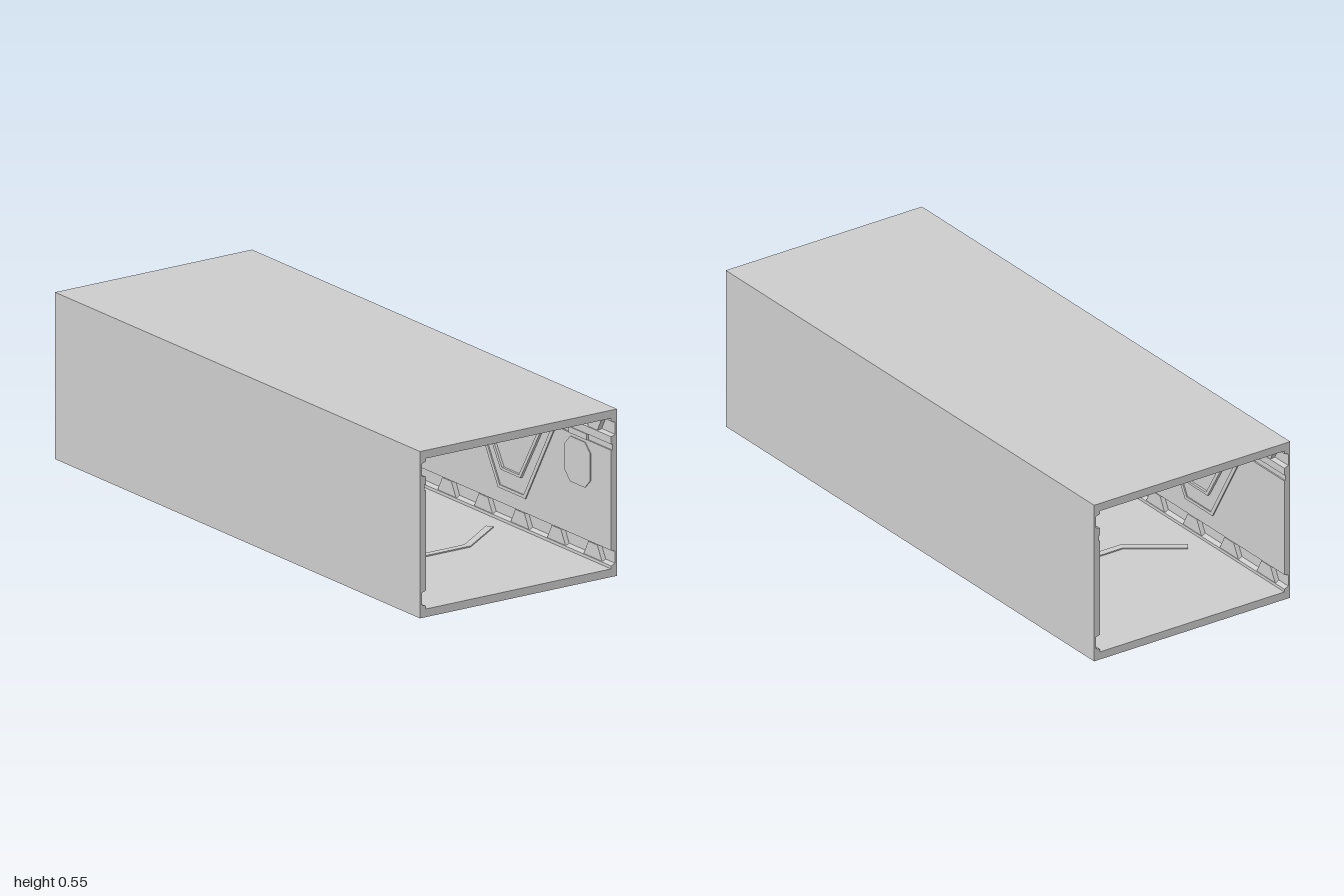
import * as THREE from 'three';

const LENGTH = 2, HALF_W = 0.38, HEIGHT = 0.553;
const WALL = 0.357, FLOOR = 0.027, CEILING = 0.526;
const MODULES = [0, -1]; // the corridor repeats every unit along z

const material = new THREE.MeshStandardMaterial({ color: 0xcccccc, flatShading: true });
const polygon = (pts) => new THREE.Shape(pts.map(([x, y]) => new THREE.Vector2(x, y)));
const extrude = (shape, depth) => new THREE.ExtrudeGeometry(shape, { depth, bevelEnabled: false });

// Flat mitred band of constant height following a polyline
function band(points, width) {
  const offset = (s) => points.map(([x, y], i) => {
    const a = points[Math.max(i - 1, 0)], b = points[Math.min(i + 1, points.length - 1)];
    const t = new THREE.Vector2(b[0] - a[0], b[1] - a[1]).normalize();
    return [x - t.y * s, y + t.x * s];
  });
  return polygon([...offset(width / 2), ...offset(-width / 2).reverse()]);
}

export function createModel() {
  const group = new THREE.Group();
  const add = (name, geometry, x = 0, y = 0, z = 0) => {
    const mesh = new THREE.Mesh(geometry, material);
    mesh.name = name;
    mesh.position.set(x, y, z);
    group.add(mesh);
  };

  // Rectangular shell whose side walls carry lengthwise channels
  const side = [
    [WALL, FLOOR], [WALL, 0.037], [0.373, 0.043], [0.373, 0.083], [WALL, 0.088],
    [WALL, 0.42], [0.362, 0.42], [0.362, 0.44], [WALL, 0.44],
    [WALL, 0.465], [0.373, 0.47], [0.373, 0.51], [WALL, 0.516], [WALL, CEILING],
  ];
  const shell = polygon([[-HALF_W, 0], [HALF_W, 0], [HALF_W, HEIGHT], [-HALF_W, HEIGHT]]);
  const left = side.map(([x, y]) => [-x, y]).reverse();
  shell.holes.push(new THREE.Path(polygon([...side, ...left]).getPoints()));
  add('corridorShell', extrude(shell, LENGTH), 0, 0, -1);

  // Shape drawn in (z, y), raised from a side wall to the given inner x
  const wallRelief = (name, shape, s, inner, z) => {
    const depth = 0.363 - inner;
    const g = extrude(shape, depth).rotateY(-Math.PI / 2);
    add(name, g, s > 0 ? 0.363 : -inner, 0, z);
  };

  for (const s of [1, -1]) {
    for (const m of MODULES) {
      // Double trapezoid brace on the wall
      wallRelief('outerBrace', band([[0.22, 0.435], [0.39, 0.142], [0.53, 0.142], [0.7, 0.435]], 0.014), s, 0.353, m);
      wallRelief('innerBrace', band([[0.28, 0.42], [0.41, 0.206], [0.51, 0.206], [0.64, 0.42]], 0.012), s, 0.3485, m);
      // Eight-sided inspection panel
      wallRelief('wallPanel', polygon([
        [0.75, 0.29], [0.78, 0.26], [0.86, 0.26], [0.89, 0.29],
        [0.89, 0.38], [0.86, 0.41], [0.78, 0.41], [0.75, 0.38],
      ]), s, 0.354, m);
      // Key set in the upper slot
      wallRelief('slotKey', polygon([[0.77, 0.42], [0.87, 0.42], [0.87, 0.44], [0.77, 0.44]]), s, 0.354, m);
    }

    // Clips with sloping ends, spaced along the lower and upper channels
    for (let i = 0; i < 10; i++) {
      const z = -0.9 + i * 0.2;
      const low = [[-0.05, 0.039], [0.05, 0.039], [0.025, 0.086], [-0.025, 0.086]];
      const high = low.map(([u, y]) => [u, HEIGHT - y]).reverse();
      for (const [name, pts] of [['lowerClip', low], ['upperClip', high]]) {
        const g = extrude(polygon(pts), 0.016).rotateY(-Math.PI / 2);
        add(name, g, s > 0 ? 0.373 : -0.357, 0, z);
      }
    }
  }

  // Trapezoid ribs across floor and ceiling, drawn in (x, -z)
  const path = [[-0.29, -0.43], [-0.12, -0.55], [0.12, -0.55], [0.29, -0.43]];
  for (const m of MODULES) {
    for (const [name, y] of [['floorRib', FLOOR - 0.002], ['ceilingRib', CEILING - 0.004]]) {
      add(name, extrude(band(path, 0.025), 0.006).rotateX(-Math.PI / 2), 0, y, m);
    }
  }
  return group;
}
